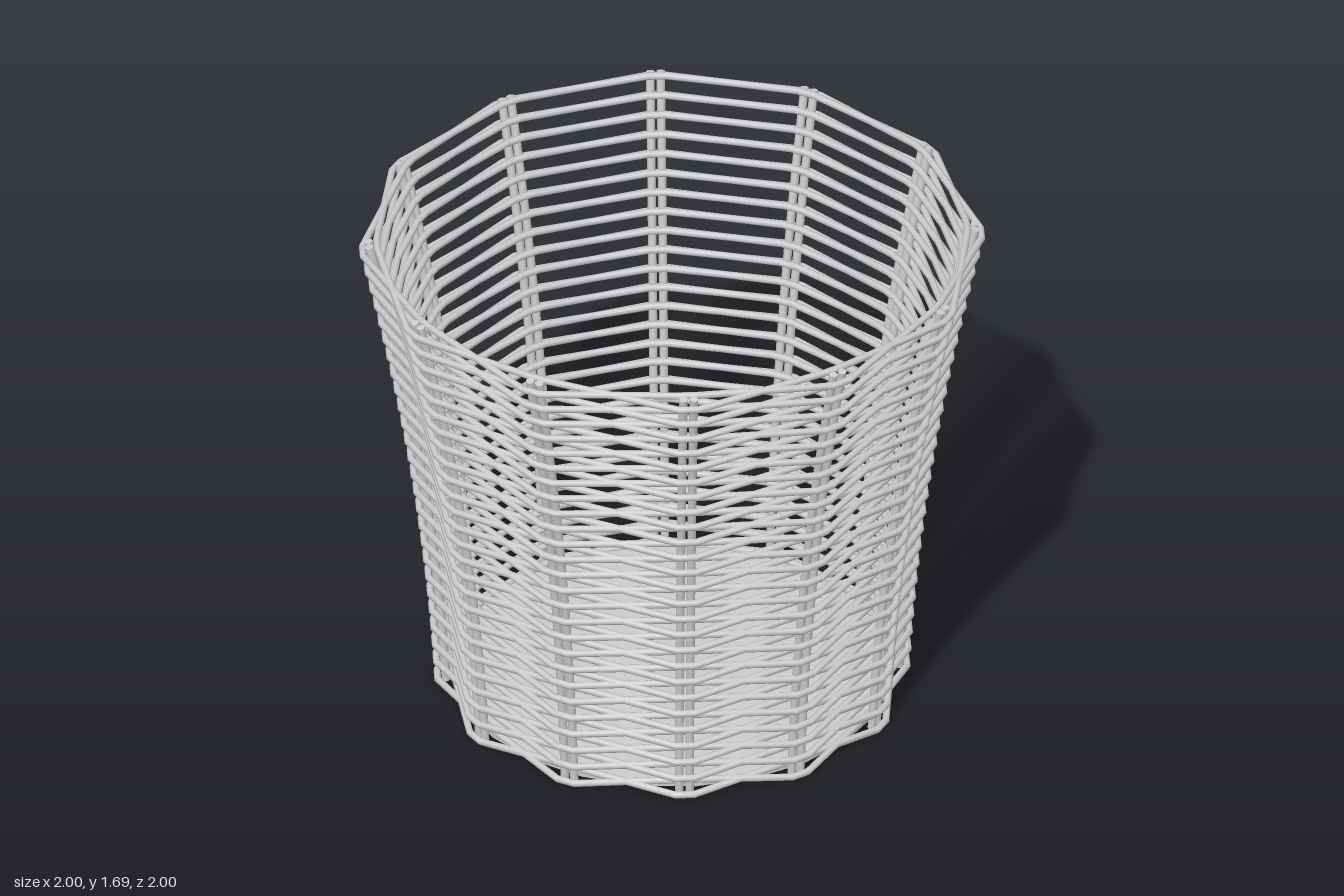
import * as THREE from 'three';

const STAKES = 12, ROWS = 26, HEIGHT = 1.69;
const STAKE_R = 0.014, STRAND_R = 0.012;
const AMP = 0.013;          // rise and fall of a strand around its row
const HALF_WRAP = 0.03;     // half width of the flat where a strand wraps a stake
const START = THREE.MathUtils.degToRad(18);

// Flaring wall: radius of the stake ring at a height
const wallRadius = (y) => 0.735 + 0.052 * y + 0.0575 * y * y;

// Point on the wall: stake angle, radius, sideways shift and height
function wallPoint(angle, radius, shift, y) {
  const c = Math.cos(angle), s = Math.sin(angle);
  return new THREE.Vector3(c * radius - s * shift, y, s * radius + c * shift);
}

// One closed strand passing outside and inside of alternate stakes
function strandGeometry(rowY, parity) {
  const points = [];
  for (let i = 0; i < STAKES; i++) {
    const side = (i + parity) % 2 ? 1 : -1;
    const y = rowY - side * AMP;
    const radius = wallRadius(y) + side * (STAKE_R + STRAND_R);
    const angle = START + (i / STAKES) * Math.PI * 2;
    for (const shift of [-HALF_WRAP, HALF_WRAP]) points.push(wallPoint(angle, radius, shift, y));
  }
  const curve = new THREE.CatmullRomCurve3(points, true);
  curve.getUtoTmapping = (u) => u; // one ring at each point keeps the spans straight
  return new THREE.TubeGeometry(curve, points.length, STRAND_R, 7, true);
}

export function createModel() {
  const model = new THREE.Group();
  model.name = 'wovenBasket';
  const material = new THREE.MeshStandardMaterial({ color: 0xcccccc });
  const add = (parent, name, geometry) => {
    const mesh = new THREE.Mesh(geometry, material);
    mesh.name = name;
    parent.add(mesh);
    return mesh;
  };

  // Woven wall: each row is a pair of strands crossing between the stakes
  const weave = new THREE.Group();
  weave.name = 'weave';
  model.add(weave);
  const first = AMP + STRAND_R, last = HEIGHT - AMP - STRAND_R;
  for (let row = 0; row < ROWS; row++) {
    const y = THREE.MathUtils.lerp(first, last, row / (ROWS - 1));
    for (const parity of [0, 1]) add(weave, 'strand', strandGeometry(y, parity));
  }

  // Upright stakes: two rods side by side, capped at both ends
  const stakes = new THREE.Group();
  stakes.name = 'stakes';
  model.add(stakes);
  for (let i = 0; i < STAKES; i++) {
    const angle = START + (i / STAKES) * Math.PI * 2;
    for (const shift of [-0.017, 0.017]) {
      const points = [];
      for (let k = 0; k <= 8; k++) {
        const y = 0.004 + (k / 8) * (HEIGHT - 0.014);
        points.push(wallPoint(angle, wallRadius(y), shift, y));
      }
      const curve = new THREE.CatmullRomCurve3(points);
      add(stakes, 'stakeRod', new THREE.TubeGeometry(curve, 12, STAKE_R, 8));
      for (const end of [0, 1]) {
        const cap = add(stakes, 'stakeEnd', new THREE.CircleGeometry(STAKE_R, 8));
        const outward = curve.getTangent(end).multiplyScalar(end ? 1 : -1);
        cap.position.copy(curve.getPoint(end));
        cap.quaternion.setFromUnitVectors(new THREE.Vector3(0, 0, 1), outward);
      }
    }
  }

  // Flat floor
  const floor = add(model, 'floor', new THREE.CylinderGeometry(0.718, 0.718, 0.012, 24));
  floor.position.y = 0.02;

  return model;
}
